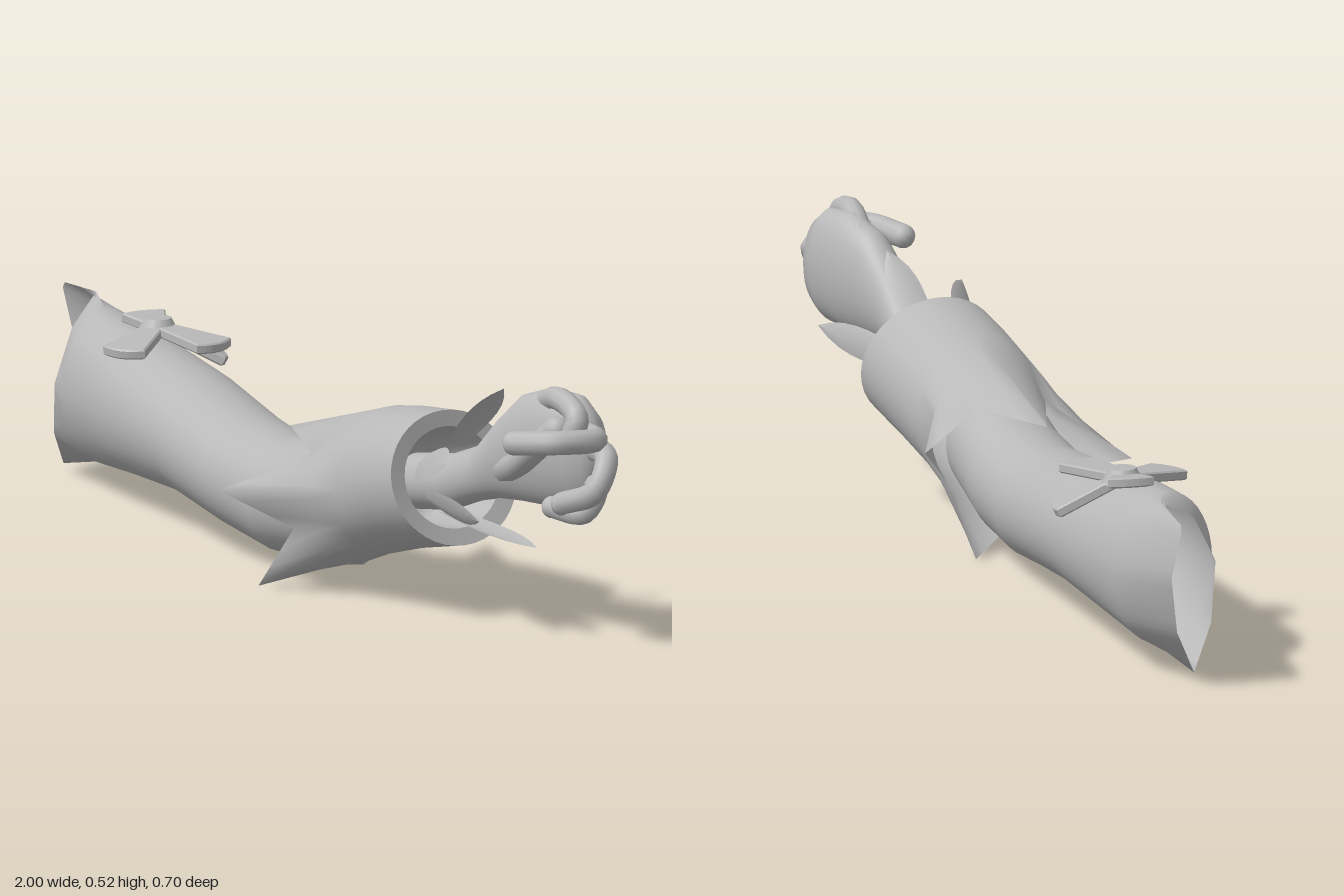
import * as THREE from 'three';

const V = (x, y, z) => new THREE.Vector3(x, y, z);
const N = 40;
const clay = new THREE.MeshStandardMaterial({ color: 0xb8b8b8, side: THREE.DoubleSide });
clay.name = 'light grey';

// Elliptical cross-section in the y-z plane, optionally tilted along x
function ring([x, y, z, ry, rz], tiltY = 0, tiltZ = 0) {
  return Array.from({ length: N }, (_, i) => {
    const a = (i / N) * Math.PI * 2, c = Math.cos(a), s = Math.sin(a);
    return V(x + tiltY * s + tiltZ * c, y + ry * s, z + rz * c);
  });
}

// Skin a list of closed cross-sections
function loft(rings) {
  const pos = [], idx = [];
  rings.forEach(r => r.forEach(p => pos.push(p.x, p.y, p.z)));
  for (let j = 0; j < rings.length - 1; j++) {
    for (let i = 0; i < N; i++) {
      const k = (i + 1) % N, a = j * N + i, b = j * N + k;
      idx.push(a, b, a + N, b, b + N, a + N);
    }
  }
  const g = new THREE.BufferGeometry();
  g.setAttribute('position', new THREE.Float32BufferAttribute(pos, 3));
  g.setIndex(idx);
  g.computeVertexNormals();
  return g;
}

// Resample corner points given as [angle in degrees, x, y, z] into one closed ring
function edgeRing(corners) {
  return Array.from({ length: N }, (_, i) => {
    const deg = (i / N) * 360;
    for (let j = 0; j < corners.length; j++) {
      const a = corners[j], b = corners[(j + 1) % corners.length];
      const span = (b[0] - a[0] + 360) % 360, d = (deg - a[0] + 360) % 360;
      if (d < span) return V(...a.slice(1)).lerp(V(...b.slice(1)), d / span);
    }
  });
}

// Pointed, folded leaf from base to tip
function leafGeometry(base, tip, side, fold, width) {
  const pos = [], idx = [], M = 8;
  for (let i = 0; i <= M; i++) {
    const t = i / M, w = width * (0.55 + 0.9 * t) * (1 - t ** 3);
    const c = base.clone().lerp(tip, t);
    for (const s of [-1, 0, 1]) {
      const p = c.clone().addScaledVector(side, s * w).addScaledVector(fold, s === 0 ? 0.3 * w : 0);
      pos.push(p.x, p.y, p.z);
    }
    if (i < M) for (const k of [0, 1]) {
      const a = i * 3 + k;
      idx.push(a, a + 1, a + 3, a + 1, a + 4, a + 3);
    }
  }
  const g = new THREE.BufferGeometry();
  g.setAttribute('position', new THREE.Float32BufferAttribute(pos, 3));
  g.setIndex(idx);
  g.computeVertexNormals();
  return g;
}

export function createModel() {
  const model = new THREE.Group();
  model.name = 'sleevedArm';
  const add = (name, geometry, parent = model) => {
    const m = new THREE.Mesh(geometry, clay);
    m.name = name;
    parent.add(m);
    return m;
  };

  // Upper sleeve with a slanted open shoulder end
  const shoulder = edgeRing([
    [0, -0.82, 0.21, -0.14], [45, -0.83, 0.31, -0.2], [90, -0.86, 0.36, -0.3],
    [130, -1, 0.35, -0.35], [180, -0.97, 0.24, -0.355], [225, -0.94, 0.12, -0.32],
    [270, -0.9, 0.02, -0.25], [315, -0.86, 0.1, -0.18]]);
  add('upperSleeve', loft([shoulder, ...[
    [-0.77, 0.2, -0.23, 0.152, 0.118], [-0.6, 0.195, -0.175, 0.137, 0.132],
    [-0.4, 0.183, -0.11, 0.118, 0.137], [-0.2, 0.155, -0.035, 0.112, 0.132],
    [-0.05, 0.138, 0.012, 0.113, 0.12], [0.08, 0.155, 0.045, 0.115, 0.118],
    [0.22, 0.2, 0.085, 0.115, 0.115]].map(r => ring(r))]));

  // Forearm cuff: five leaf points at the elbow, flaring to a thick rim
  const points = edgeRing([
    [9, -0.03, 0.185, 0.235], [54, 0.16, 0.27, 0.165], [99, -0.03, 0.28, 0.03],
    [126, 0.13, 0.29, -0.02], [162, 0.1, 0.23, -0.168], [198, 0.17, 0.15, -0.07],
    [234, 0.08, 0.005, -0.06], [279, 0.15, 0.04, 0.08], [315, 0.05, 0.002, 0.205],
    [342, 0.14, 0.13, 0.2]]);
  const rim = ring([0.515, 0.281, 0.145, 0.13, 0.138], -0.03, -0.035);
  const lip = ring([0.51, 0.281, 0.145, 0.098, 0.104], -0.022, -0.026);
  add('cuff', loft([points, ring([0.23, 0.21, 0.088, 0.15, 0.15]),
    ring([0.3, 0.235, 0.1, 0.147, 0.148]), ring([0.4, 0.26, 0.12, 0.138, 0.145], -0.015, -0.015), rim]));
  add('cuffRim', loft([rim, lip]));
  add('cuffLining', loft([lip, ring([0.4, 0.255, 0.125, 0.085, 0.09]),
    ring([0.38, 0.25, 0.12, 0.03, 0.03])]));

  // Hand: wrist and palm in one skin
  const hand = new THREE.Group();
  hand.name = 'hand';
  model.add(hand);
  add('palm', loft([
    [0.38, 0.25, 0.12, 0.055, 0.055], [0.52, 0.275, 0.15, 0.056, 0.052],
    [0.61, 0.31, 0.165, 0.056, 0.046], [0.67, 0.35, 0.172, 0.08, 0.046],
    [0.73, 0.38, 0.172, 0.106, 0.052], [0.8, 0.392, 0.168, 0.118, 0.055],
    [0.87, 0.395, 0.165, 0.11, 0.05], [0.91, 0.39, 0.167, 0.085, 0.038],
    [0.925, 0.39, 0.167, 0.002, 0.002]].map(r => ring(r))), hand);

  // Curled fingers and thumb
  const digits = {
    indexFinger: [0.023, [0.77, 0.475, 0.165], [0.85, 0.5, 0.2], [0.92, 0.475, 0.225], [0.91, 0.43, 0.235]],
    middleFinger: [0.024, [0.85, 0.44, 0.175], [0.95, 0.435, 0.205], [0.93, 0.44, 0.29], [0.84, 0.43, 0.318]],
    ringFinger: [0.023, [0.86, 0.4, 0.16], [0.965, 0.4, 0.19], [0.97, 0.34, 0.225], [0.88, 0.3, 0.225]],
    littleFinger: [0.022, [0.84, 0.34, 0.16], [0.93, 0.33, 0.18], [0.92, 0.285, 0.205], [0.84, 0.285, 0.21]],
    thumb: [0.026, [0.69, 0.33, 0.19], [0.76, 0.36, 0.225], [0.83, 0.41, 0.24], [0.88, 0.45, 0.24]],
  };
  for (const [name, [r, ...pts]] of Object.entries(digits)) {
    const path = pts.map(p => V(...p));
    add(name, new THREE.TubeGeometry(new THREE.CatmullRomCurve3(path), 20, r, 10), hand);
    for (const end of [path[0], path[3]])
      add(name + 'End', new THREE.SphereGeometry(r, 12, 8), hand).position.copy(end);
  }

  // Pointed leaves fanning out around the wrist
  const axis = V(0.5, 0.27, 0.15);
  [
    [[0.48, 0.31, 0.2], [0.69, 0.37, 0.35], 0.045],
    [[0.5, 0.25, 0.2], [0.72, 0.25, 0.29], 0.03],
    [[0.5, 0.215, 0.15], [0.78, 0.19, 0.19], 0.035],
    [[0.5, 0.34, 0.13], [0.635, 0.475, 0.13], 0.035],
    [[0.5, 0.28, 0.09], [0.76, 0.31, 0.055], 0.035],
  ].forEach(([b, t, w]) => {
    const base = V(...b), tip = V(...t), along = tip.clone().sub(base).normalize();
    const out = base.clone().sub(axis).normalize();
    const side = along.clone().cross(out).normalize();
    add('wristLeaf', leafGeometry(base, tip, side, side.clone().cross(along), w));
  });

  // Flower on the upper sleeve: flared petals around a raised centre
  const flower = new THREE.Group();
  flower.name = 'flower';
  model.add(flower);
  const heart = V(-0.61, 0.335, -0.21);
  [[-0.53, 0.27, -0.31], [-0.44, 0.325, -0.2], [-0.565, 0.315, -0.06], [-0.68, 0.345, -0.24]].forEach(t => {
    const tip = V(...t), along = tip.clone().sub(heart), length = along.length();
    const shape = new THREE.Shape();
    shape.moveTo(-0.015, 0);
    shape.lineTo(-0.042, length * 0.92);
    shape.quadraticCurveTo(0, length * 1.08, 0.042, length * 0.92);
    shape.lineTo(0.015, 0);
    const petal = add('petal', new THREE.ExtrudeGeometry(shape,
      { depth: 0.014, bevelEnabled: true, bevelSize: 0.003, bevelThickness: 0.003, bevelSegments: 1 }), flower);
    along.normalize();
    const side = along.clone().cross(V(0, 1, 0)).normalize();
    petal.matrix.makeBasis(side, along, side.clone().cross(along)).setPosition(heart);
    petal.matrix.decompose(petal.position, petal.quaternion, petal.scale);
  });
  const centre = add('flowerCentre', new THREE.CylinderGeometry(0.026, 0.042, 0.03, 16), flower);
  centre.position.set(-0.61, 0.348, -0.21);

  return model;
}
